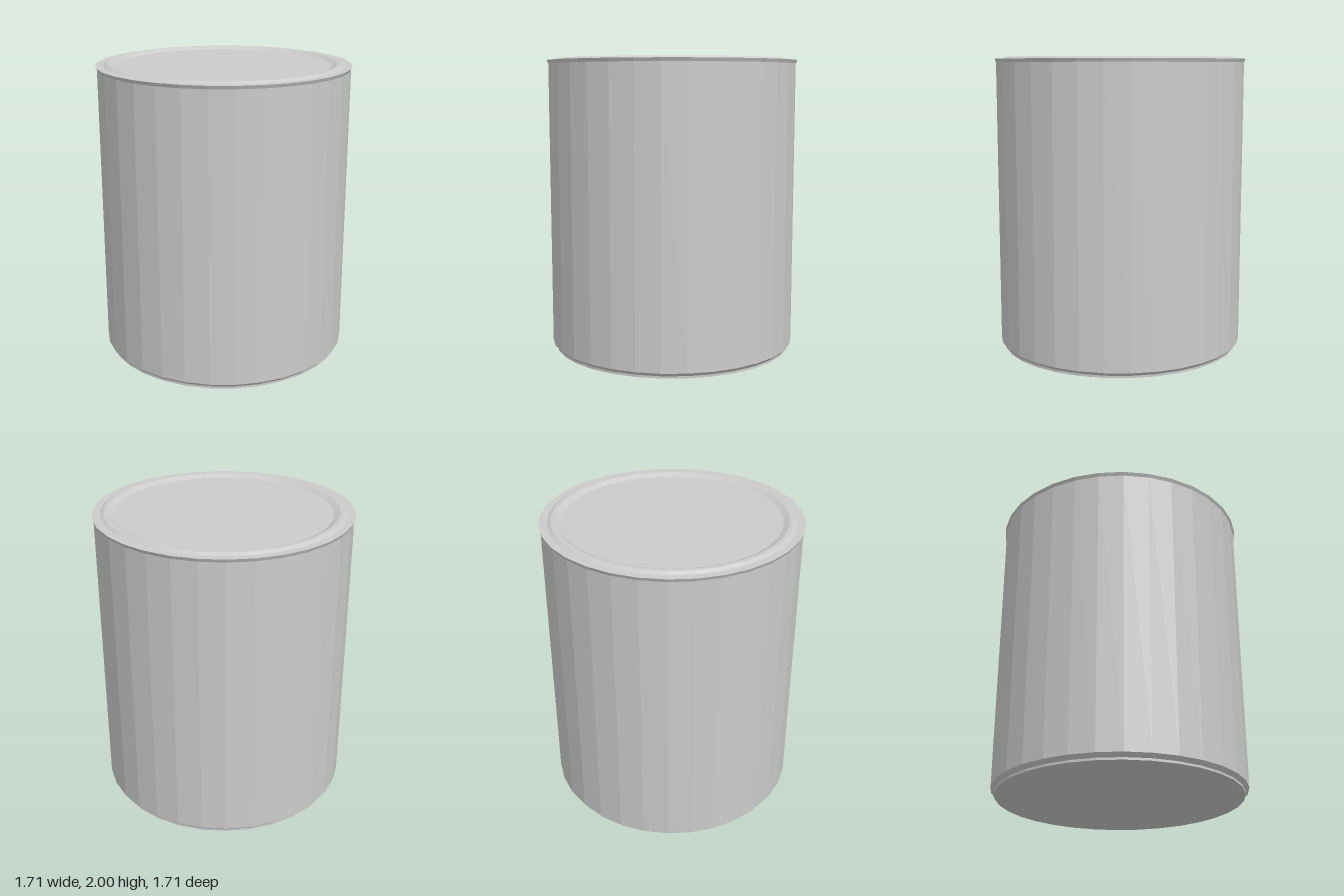
import * as THREE from 'three';

const SIDES = 32;

// Faceted turned part from [radius, height] pairs, listed bottom to top
function turned(name, profile) {
  const points = profile.map(([r, y]) => new THREE.Vector2(r, y));
  const material = new THREE.MeshStandardMaterial({ color: 0xcccccc, flatShading: true });
  const mesh = new THREE.Mesh(new THREE.LatheGeometry(points, SIDES), material);
  mesh.name = name;
  return mesh;
}

export function createModel() {
  const can = new THREE.Group();
  can.name = 'can';

  // Flat base, recessed foot, chamfer, straight wall
  can.add(turned('body', [
    [0, 0], [0.82, 0], [0.82, 0.015], [0.845, 0.04], [0.845, 1.965],
  ]));

  // Flared rim, flat ledge, raised ridge, sunken panel
  can.add(turned('lid', [
    [0.845, 1.965], [0.855, 1.987], [0.803, 1.987], [0.78, 2],
    [0.755, 2], [0.715, 1.981], [0, 1.981],
  ]));

  return can;
}
